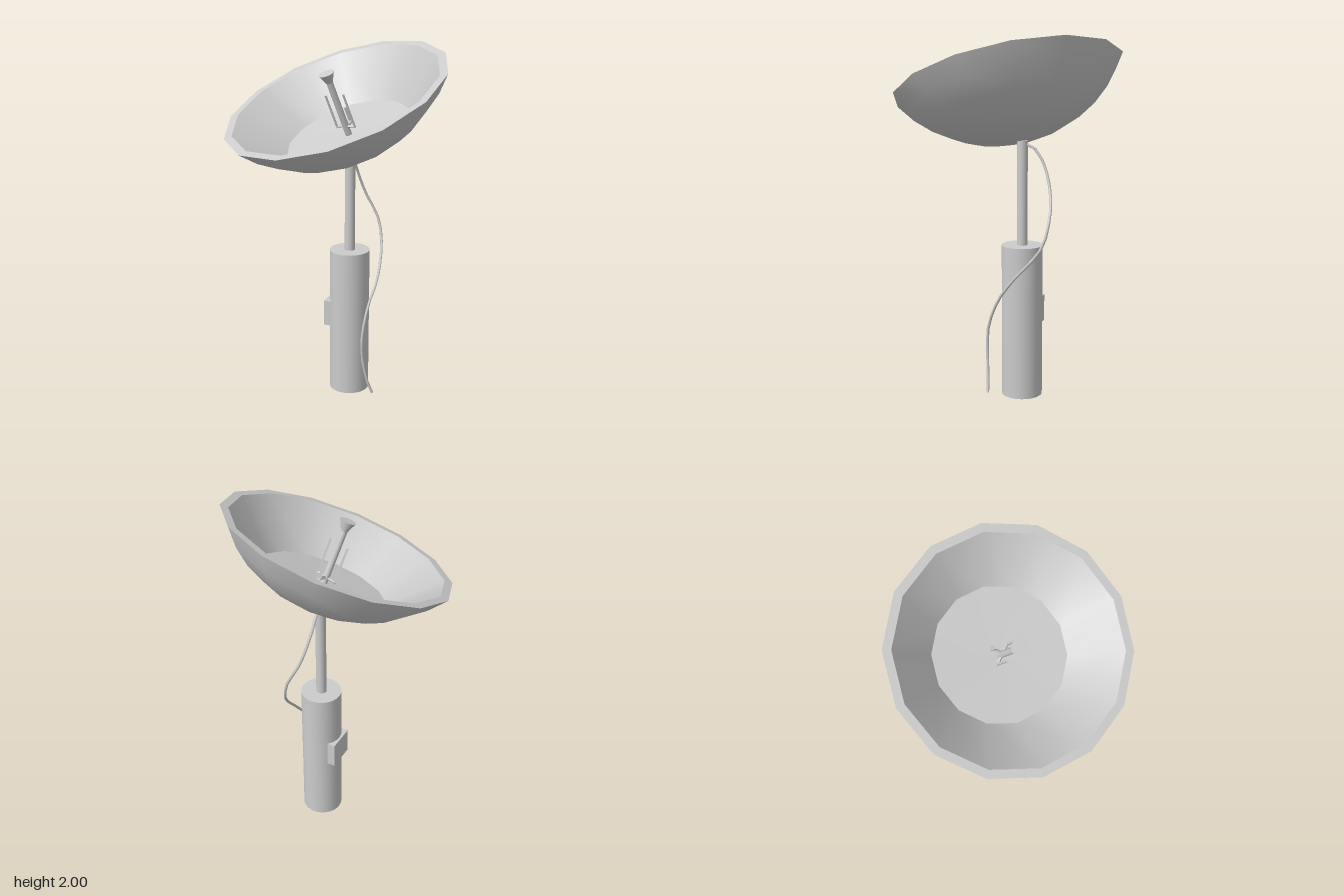
import * as THREE from 'three';

const material = new THREE.MeshStandardMaterial({ color: 0xcccccc });
const SIDES = 14;

function add(parent, name, geometry, position = [0, 0, 0]) {
  const mesh = new THREE.Mesh(geometry, material);
  mesh.name = name;
  mesh.position.set(...position);
  parent.add(mesh);
  return mesh;
}

// Bar of square section between two points
function addBar(parent, name, from, to, size) {
  const a = new THREE.Vector3(...from), b = new THREE.Vector3(...to);
  const dir = b.clone().sub(a);
  const bar = add(parent, name, new THREE.BoxGeometry(size, dir.length() + size, size));
  bar.position.copy(a).lerp(b, 0.5);
  bar.quaternion.setFromUnitVectors(new THREE.Vector3(0, 1, 0), dir.normalize());
}

// Dish in its own frame: rim plane at y = 0, opening towards +y
function createDish() {
  const dish = new THREE.Group();
  dish.name = 'dish';
  const ring = (name, points) => add(dish, name, new THREE.LatheGeometry(
    points.map(([r, y]) => new THREE.Vector2(r, y)), SIDES, 0.341));

  // Spherical back
  const radius = 0.758, rimRadius = 0.635, steps = 6;
  const maxAngle = Math.asin(rimRadius / radius);
  const centreY = radius * Math.cos(maxAngle);
  const back = [];
  for (let i = 0; i <= steps; i++) {
    const t = maxAngle * i / steps;
    back.push([radius * Math.sin(t), centreY - radius * Math.cos(t)]);
  }
  ring('dishBack', back);

  // Rim, sloped inner wall and shallow floor
  ring('dishRim', [[rimRadius, 0], [0.59, 0]]);
  ring('dishInnerWall', [[0.59, 0], [0.357, -0.23]]);
  ring('dishFloor', [[0.357, -0.23], [0, -0.24]]);

  // Feed stem and flared horn
  add(dish, 'feedStem', new THREE.CylinderGeometry(0.018, 0.018, 0.325, 16), [0, -0.0775, 0]);
  add(dish, 'feedHorn', new THREE.CylinderGeometry(0.043, 0.018, 0.055, 20), [0, 0.1075, 0]);

  // L-shaped prongs around the stem: angle, top height, thickness
  for (const [angle, top, size] of [[0.6, 0, 0.011], [0.6 + Math.PI, 0, 0.011], [-1.0, -0.11, 0.018]]) {
    const x = 0.058 * Math.cos(angle), z = 0.058 * Math.sin(angle);
    addBar(dish, 'feedProngArm', [0, -0.19, 0], [x, -0.19, z], size);
    addBar(dish, 'feedProng', [x, -0.19, z], [x, top, z], size);
  }
  return dish;
}

export function createModel() {
  const model = new THREE.Group();
  model.name = 'dishAntenna';
  const px = 0.088, pz = -0.083;

  // Base cylinder and mast
  add(model, 'base', new THREE.CylinderGeometry(0.113, 0.113, 0.855, 32), [px, 0.4275, pz]);
  add(model, 'mast', new THREE.CylinderGeometry(0.029, 0.029, 0.6, 20), [px, 1.13, pz]);

  // Control box on the side of the base
  const out = new THREE.Vector3(-0.927, 0, -0.375);
  const box = add(model, 'controlBox', new THREE.BoxGeometry(0.16, 0.15, 0.05),
    [px + out.x * 0.101, 0.475, pz + out.z * 0.101]);
  box.rotation.y = Math.atan2(out.x, out.z);

  // Tilted dish
  const dish = createDish();
  dish.position.set(0, 1.75, 0);
  dish.quaternion.setFromUnitVectors(new THREE.Vector3(0, 1, 0),
    new THREE.Vector3(-0.327, 0.922, 0.209).normalize());
  model.add(dish);

  // Hanging cable from the dish back to the ground
  const path = new THREE.CatmullRomCurve3([
    [0.09, 1.42, -0.09], [0.105, 1.39, -0.15], [0.125, 1.31, -0.2], [0.18, 1.15, -0.238],
    [0.255, 1.0, -0.23], [0.275, 0.87, -0.19], [0.245, 0.69, -0.04], [0.19, 0.56, 0.045],
    [0.155, 0.4, 0.1], [0.155, 0.27, 0.105], [0.19, 0.1, 0.1], [0.215, 0.04, 0.1],
  ].map(p => new THREE.Vector3(...p)));
  add(model, 'cable', new THREE.TubeGeometry(path, 22, 0.008, 6));

  return model;
}
